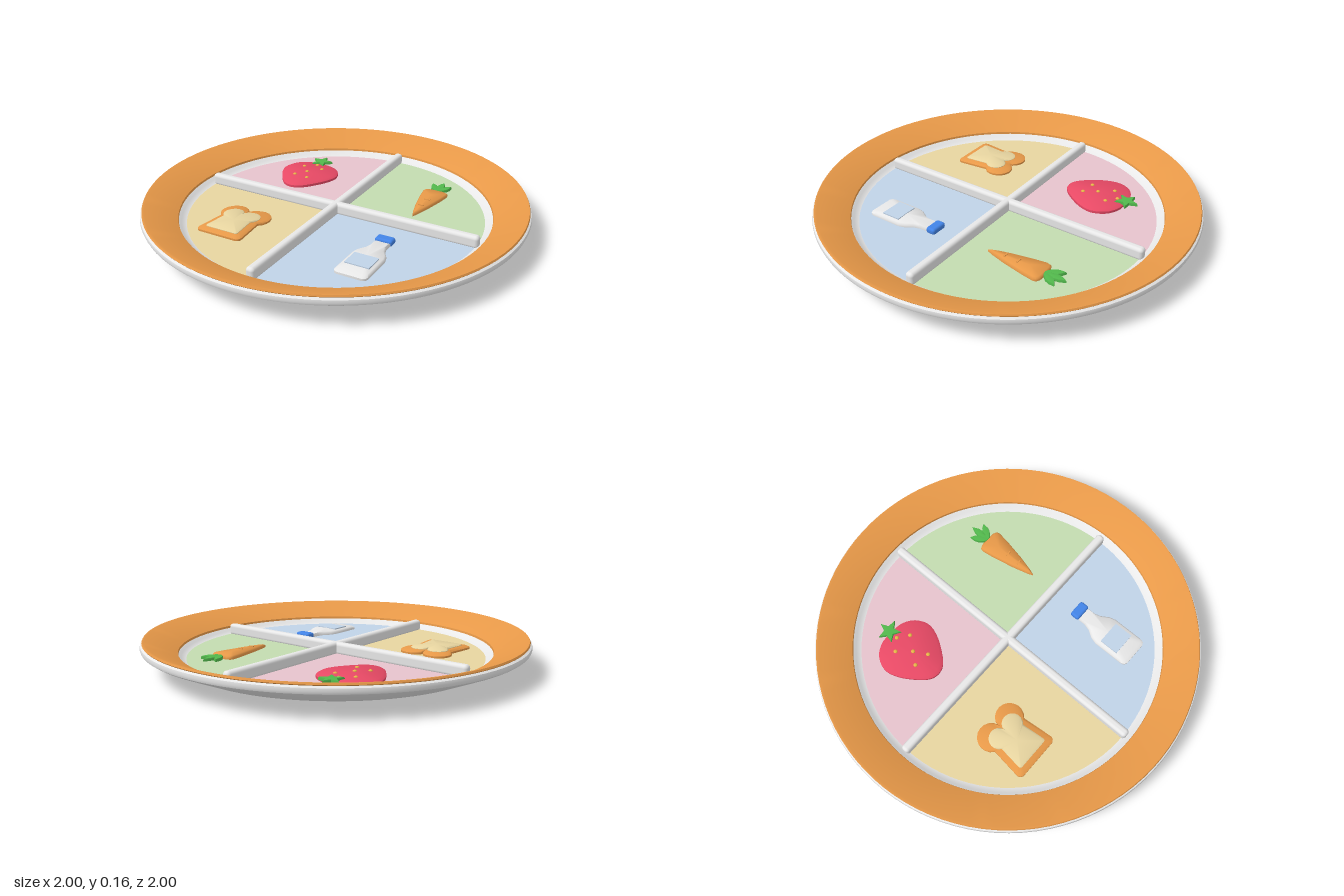
import * as THREE from 'three';
import { toCreasedNormals } from 'three/addons/utils/BufferGeometryUtils.js';
import { RoundedBoxGeometry } from 'three/addons/geometries/RoundedBoxGeometry.js';

const material = (name, color) => Object.assign(new THREE.MeshStandardMaterial({ color }), { name });
const white = material('white', 0xf1f1f1);
const orange = material('orange', 0xf2a04c);
const pink = material('pale pink', 0xe6c3cc);
const green = material('pale green', 0xc3dbb0);
const cream = material('cream', 0xeddaa4);
const paleBlue = material('pale blue', 0xc2d5ea);
const red = material('berry red', 0xea4a66);
const leaf = material('leaf green', 0x52b84c);
const yellow = material('seed yellow', 0xf2bc4c);
const blue = material('cap blue', 0x4588ee);

const FLOOR = 0.056;

function add(parent, name, geometry, mat, x = 0, y = 0, z = 0) {
  const mesh = new THREE.Mesh(geometry, mat);
  mesh.name = name;
  mesh.position.set(x, y, z);
  parent.add(mesh);
  return mesh;
}

function group(parent, name, x, z) {
  const g = new THREE.Group();
  g.name = name;
  g.position.set(x, FLOOR, z);
  parent.add(g);
  return g;
}

const lathe = (points) =>
  toCreasedNormals(new THREE.LatheGeometry(points.map((p) => new THREE.Vector2(...p)), 96), 0.6);

// Puffy tile: outline of [x, z] points, bevelled at the edge and rising to a centre point
function pillow(outline, height, cx = 0, cz = 0) {
  const pts = outline.map(([x, z]) => new THREE.Vector2(x, -z));
  if (THREE.ShapeUtils.isClockWise(pts)) pts.reverse();
  const rings = [[1, 0], [1, 0.5], [0.9, 0.82]];
  const n = pts.length, pos = [], index = [];
  for (const [s, h] of rings)
    for (const p of pts) pos.push(cx + (p.x - cx) * s, h * height, cz + (-p.y - cz) * s);
  pos.push(cx, height, cz);
  const top = rings.length * n;
  for (let i = 0; i < n; i++) {
    const j = (i + 1) % n;
    for (let r = 0; r < rings.length - 1; r++) {
      const a = r * n + i, b = r * n + j;
      index.push(a, b, b + n, a, b + n, a + n);
    }
    index.push(top - n + i, top - n + j, top);
  }
  const geo = new THREE.BufferGeometry();
  geo.setAttribute('position', new THREE.Float32BufferAttribute(pos, 3));
  geo.setIndex(index);
  geo.computeVertexNormals();
  return toCreasedNormals(geo, 0.9);
}

// Right half of an outline, from top to bottom, mirrored into a whole one
const mirrored = (half) => [...half, ...half.filter(([x]) => x > 0.001).reverse().map(([x, z]) => [-x, z])];

// Smooth curve through a half outline
const smooth = (half, n = 16) =>
  new THREE.SplineCurve(half.map((p) => new THREE.Vector2(...p))).getPoints(n).map((p) => [p.x, p.y]);

// Bread slice outline with two lobes, scaled for crust or crumb
function slice(w, lobe, top, bottom, round) {
  const half = [[0, top + lobe * 0.75]];
  const cx = w - lobe;
  for (let i = 0; i <= 10; i++) {
    const a = THREE.MathUtils.lerp(-Math.PI * 0.82, Math.PI * 0.3, i / 10);
    half.push([cx + Math.cos(a) * lobe, top + lobe + Math.sin(a) * lobe]);
  }
  const side = w * 0.91;
  for (let i = 0; i <= 4; i++) {
    const a = (i / 4) * Math.PI / 2;
    half.push([side - round + Math.cos(a) * round, bottom - round + Math.sin(a) * round]);
  }
  half.push([0, bottom]);
  return mirrored(half);
}

export function createModel() {
  const model = new THREE.Group();
  model.name = 'dividedPlate';

  // Plate body and coloured rim
  add(model, 'plate', lathe([[0, 0.003], [0.4, 0.003], [0.63, 0.005], [0.8, 0.035], [0.98, 0.112], [0.995, 0.122],
    [1, 0.135], [0.997, 0.149], [0.985, 0.157], [0.97, 0.153], [0.815, 0.086], [0.8, 0.07], [0.775, 0.058],
    [0.74, 0.052], [0, 0.052]]), white);
  add(model, 'rim', lathe([[0.813, 0.084], [0.985, 0.154], [0.99, 0.16], [0.986, 0.168], [0.975, 0.167],
    [0.815, 0.095], [0.813, 0.084]]), orange);

  // Coloured floor of each quarter
  [[green, 'greenQuarter'], [pink, 'pinkQuarter'], [cream, 'creamQuarter'], [paleBlue, 'blueQuarter']]
    .forEach(([mat, name], i) => {
      const geo = new THREE.CircleGeometry(0.778, 32, i * Math.PI / 2, Math.PI / 2);
      add(model, name, geo.rotateX(-Math.PI / 2), mat, 0, FLOOR + 0.002, 0);
    });

  // Crossed dividers
  add(model, 'dividerAcross', new RoundedBoxGeometry(1.58, 0.066, 0.046, 4, 0.018), white, 0, 0.083, 0);
  add(model, 'dividerAlong', new RoundedBoxGeometry(0.046, 0.066, 1.58, 4, 0.018), white, 0, 0.083, 0);

  // Strawberry
  const berry = group(model, 'strawberry', -0.378, -0.33);
  const berryHalf = smooth([[0, -0.165], [0.07, -0.16], [0.135, -0.12], [0.168, -0.045], [0.145, 0.04],
    [0.085, 0.13], [0.04, 0.17], [0, 0.18]], 24);
  add(berry, 'berryBody', pillow(mirrored(berryHalf), 0.03), red);
  const star = [];
  for (let i = 0; i < 10; i++) {
    const r = i % 2 ? 0.029 : 0.064, a = i * Math.PI / 5;
    star.push([Math.sin(a) * r, -Math.cos(a) * r]);
  }
  add(berry, 'berryLeaves', pillow(star, 0.02), leaf, 0, 0.019, -0.172);
  for (const [x, z] of [[0, -0.118], [-0.06, -0.07], [0.056, -0.075], [0, 0], [-0.046, 0.06], [0.04, 0.07]]) {
    const s = Math.hypot(x / 0.16, z / 0.17);
    add(berry, 'seed', new THREE.SphereGeometry(0.011, 10, 8).scale(1, 0.6, 1), yellow, x, 0.03 - 0.006 * s, z);
  }

  // Carrot
  const carrot = group(model, 'carrot', 0.376, -0.33);
  add(carrot, 'carrotBody', pillow(mirrored([[0, -0.147], [0.045, -0.145], [0.066, -0.135], [0.07, -0.118],
    [0.06, -0.05], [0.035, 0.07], [0.012, 0.155], [0, 0.185]]), 0.026, 0, -0.06), orange);
  for (const a of [-0.55, 0, 0.55]) {
    const l = a ? 0.105 : 0.122;
    const blade = pillow(mirrored([[0, -l], [0.015, -l * 0.75], [0.02, -l * 0.5], [0.012, -l * 0.15], [0, 0]]),
      0.018, 0, -l * 0.5);
    add(carrot, 'carrotLeaf', blade, leaf, 0, 0.006, -0.136).rotation.y = a;
  }
  add(carrot, 'carrotMark', new THREE.BoxGeometry(0.032, 0.006, 0.008), orange, 0.004, 0.025, 0.003);
  add(carrot, 'carrotMark', new THREE.BoxGeometry(0.028, 0.006, 0.008), orange, 0, 0.024, 0.08);

  // Bread slice
  const bread = group(model, 'bread', -0.38, 0.37);
  add(bread, 'crust', pillow(slice(0.144, 0.075, -0.165, 0.158, 0.025), 0.024, 0, 0.02), orange);
  add(bread, 'crumb', pillow(slice(0.105, 0.055, -0.11, 0.125, 0.012), 0.018, 0, 0.02), cream, 0, 0.014, 0);

  // Milk bottle
  const bottle = group(model, 'bottle', 0.376, 0.37);
  add(bottle, 'bottleBody', pillow(mirrored([[0, -0.17], [0.04, -0.17], [0.04, -0.12], [0.05, -0.085],
    [0.076, -0.045], [0.086, -0.01], [0.086, 0.16], [0.08, 0.177], [0.065, 0.185], [0, 0.185]]), 0.026, 0, 0.01), white);
  add(bottle, 'bottleCap', new RoundedBoxGeometry(0.094, 0.034, 0.054, 3, 0.013), blue, 0, 0.014, -0.188);
  add(bottle, 'bottleLabel', new THREE.BoxGeometry(0.128, 0.008, 0.104), paleBlue, 0, 0.024, 0.058);

  return model;
}
